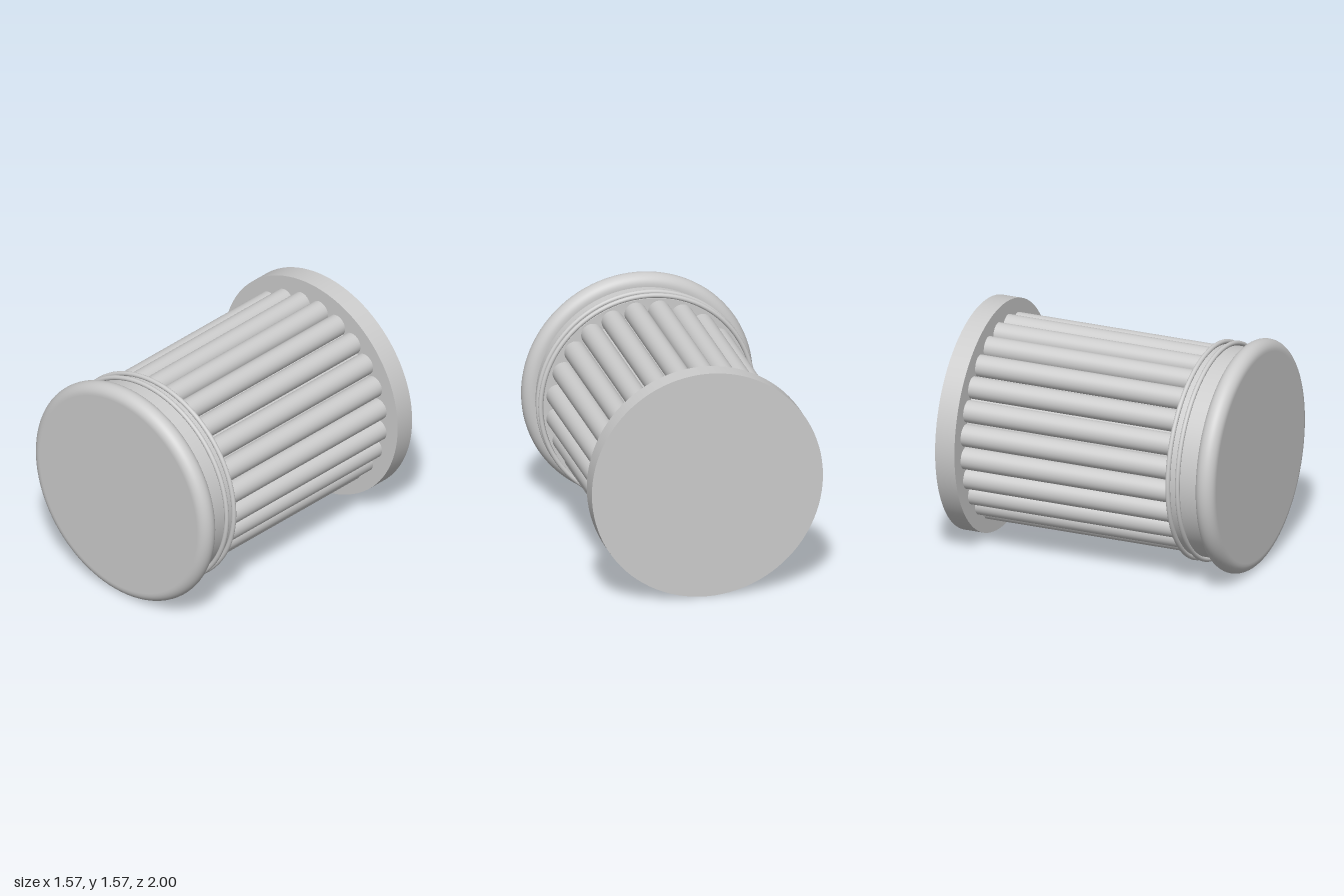
import * as THREE from 'three';

const RADIUS = 0.787;      // end cap radius, also the height of the axis
const PLEATS = 24;

export function createModel() {
  const model = new THREE.Group();
  const body = new THREE.Group();
  body.name = 'pleatedCartridge';
  body.position.y = RADIUS;
  model.add(body);
  const material = new THREE.MeshStandardMaterial({ color: 0xcccccc });

  function add(name, geometry) {
    const mesh = new THREE.Mesh(geometry, material);
    mesh.name = name;
    body.add(mesh);
    return mesh;
  }

  // cylinder lying along z between two depths
  function drum(name, radius, back, front, sides = 96, open = false) {
    const g = new THREE.CylinderGeometry(radius, radius, front - back, sides, 1, open);
    g.rotateX(Math.PI / 2);
    g.translate(0, 0, (front + back) / 2);
    return add(name, g);
  }

  // flat back cap, inner core and collar
  drum('backCap', RADIUS, -1, -0.86);
  drum('core', 0.6, -0.87, 0.66);
  drum('collar', 0.707, 0.645, 0.88);

  // front cap with a fully rounded rim
  const rim = 0.07;
  const flat = RADIUS - rim;
  const profile = [new THREE.Vector2(0, -rim), new THREE.Vector2(flat - 0.005, -rim)];
  for (let i = 0; i <= 20; i++) {
    const a = -Math.PI / 2 + (i / 20) * Math.PI;
    profile.push(new THREE.Vector2(flat + rim * Math.cos(a), rim * Math.sin(a)));
  }
  profile.push(new THREE.Vector2(flat - 0.005, rim), new THREE.Vector2(0, rim));
  const cap = new THREE.LatheGeometry(profile, 96);
  cap.rotateX(Math.PI / 2);
  add('frontCap', cap).position.z = 1 - rim;

  // two thin sealing rings on the collar
  for (const z of [0.655, 0.725]) {
    add('sealRing', new THREE.TorusGeometry(0.724, 0.016, 16, 96)).position.z = z;
  }

  // rounded pleats around the core
  for (let i = 0; i < PLEATS; i++) {
    const a = ((i + 0.5) / PLEATS) * Math.PI * 2;
    const pleat = drum('pleat', 0.075, -0.87, 0.65, 32, true);
    pleat.position.set(0.617 * Math.cos(a), 0.617 * Math.sin(a), 0);
  }

  return model;
}
